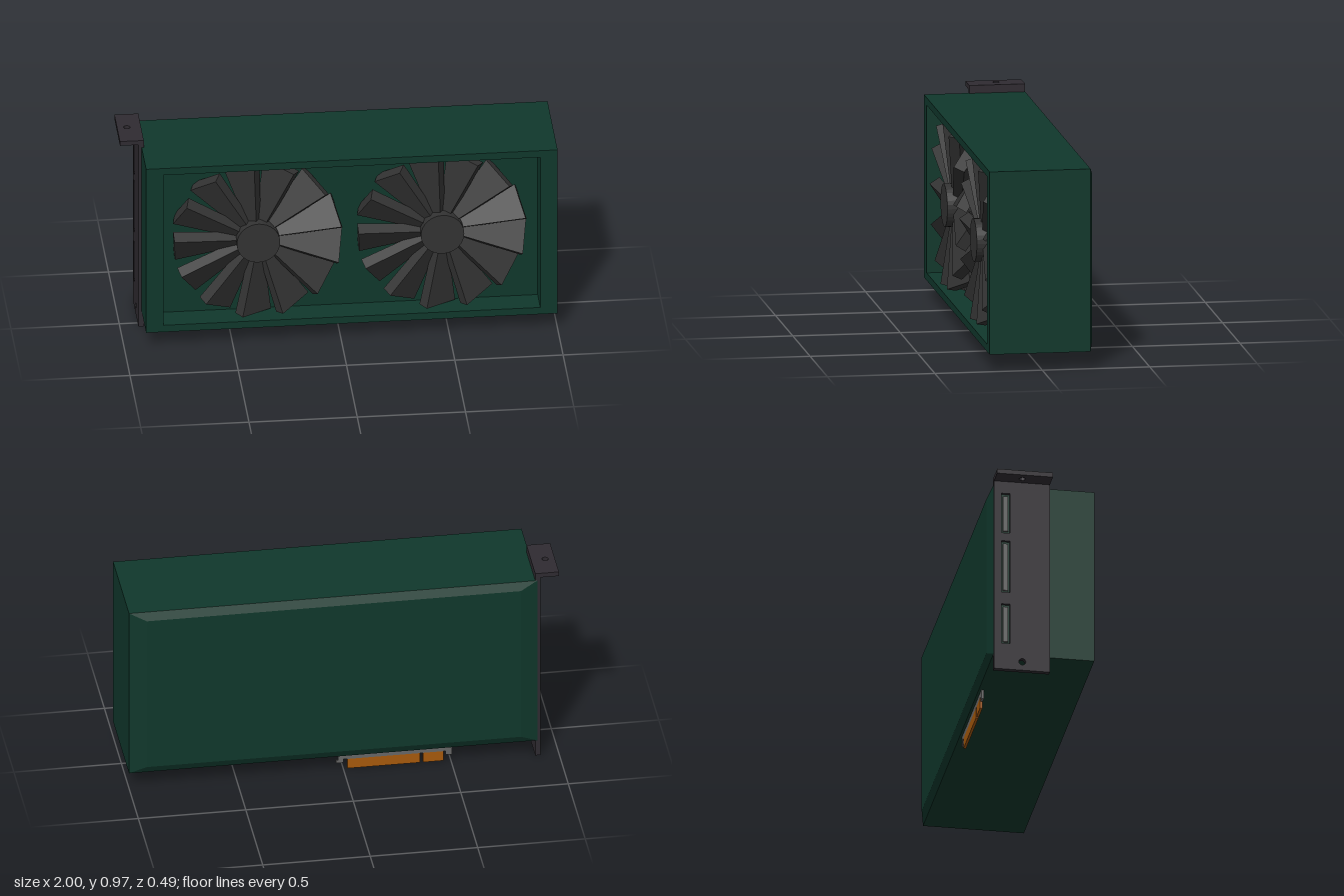
import * as THREE from 'three';

const mat = (color) => new THREE.MeshStandardMaterial({ color, flatShading: true });

// Rectangle outline, from corner to corner
function rect(x0, y0, x1, y1, Type = THREE.Shape) {
  return new Type([[x0, y0], [x1, y0], [x1, y1], [x0, y1]].map((p) => new THREE.Vector2(...p)));
}

function circleHole(x, y, r) {
  const path = new THREE.Path();
  path.absarc(x, y, r, 0, Math.PI * 2, true);
  return path;
}

const extrude = (shape, depth) =>
  new THREE.ExtrudeGeometry(shape, { depth, bevelEnabled: false, curveSegments: 12 });

function add(parent, name, geometry, material, x = 0, y = 0, z = 0) {
  const mesh = new THREE.Mesh(geometry, material);
  mesh.name = name;
  mesh.position.set(x, y, z);
  parent.add(mesh);
  return mesh;
}

// Box given by its two opposite corners
function addBox(parent, name, material, a, b) {
  const size = a.map((v, i) => b[i] - v);
  const mid = a.map((v, i) => (v + b[i]) / 2);
  return add(parent, name, new THREE.BoxGeometry(...size), material, ...mid);
}

// Pitched blade that widens from the hub to the tip
function bladeGeometry() {
  const inner = 0.07, outer = 0.385;
  const geo = new THREE.BoxGeometry(outer - inner, 1, 1);
  const pos = geo.attributes.position;
  for (let i = 0; i < pos.count; i++) {
    const tip = pos.getX(i) > 0;
    pos.setX(i, tip ? outer : inner);
    pos.setY(i, pos.getY(i) * (tip ? 0.165 : 0.045));
    pos.setZ(i, pos.getZ(i) * (tip ? 0.055 : 0.045));
  }
  geo.rotateX(-0.57);
  geo.computeVertexNormals();
  return geo;
}

function createFan(x, material) {
  const fan = new THREE.Group();
  fan.name = 'fan';
  fan.position.set(x, 0.515, 0);
  const hub = new THREE.CylinderGeometry(0.1, 0.1, 0.115, 32).rotateX(Math.PI / 2);
  add(fan, 'fanHub', hub, material, 0, 0, 0.1775);
  const blade = bladeGeometry();
  const count = 13;
  for (let i = 0; i < count; i++) {
    add(fan, 'fanBlade', blade, material, 0, 0, 0.172).rotation.z =
      THREE.MathUtils.degToRad(18) + (i / count) * Math.PI * 2;
  }
  return fan;
}

export function createModel() {
  const model = new THREE.Group();
  model.name = 'graphicsCard';
  const green = mat(0x10382c), dark = mat(0x2f2b31), black = mat(0x333333);
  const grey = mat(0x686868), gold = mat(0xa85a0c);

  // Shroud: solid rear part and a front frame around the fan recess
  addBox(model, 'shroudBody', green, [-0.9, 0.08, -0.225], [1, 0.935, 0.12]);
  const frame = rect(-0.9, 0.08, 1, 0.935);
  frame.holes.push(rect(-0.82, 0.115, 0.92, 0.9, THREE.Path));
  add(model, 'shroudFrame', extrude(frame, 0.125), green, 0, 0, 0.12);

  // Backplate with sloped edges
  const plate = new THREE.BoxGeometry(1.9, 0.855, 0.02);
  const p = plate.attributes.position;
  for (let i = 0; i < p.count; i++) {
    if (p.getZ(i) < 0) p.setXY(i, p.getX(i) * 0.916, p.getY(i) * 0.912);
  }
  plate.computeVertexNormals();
  add(model, 'backplate', plate, green, 0.05, 0.5075, -0.235);

  model.add(createFan(-0.38, black), createFan(0.47, black));

  // Mounting bracket with port openings and a screw hole
  const bracket = rect(-0.035, 0, 0.225, 0.97);
  bracket.holes.push(circleHole(0.093, 0.043, 0.016));
  for (const [low, high] of [[0.13, 0.33], [0.39, 0.65], [0.69, 0.89]]) {
    bracket.holes.push(rect(0.15, low, 0.19, high, THREE.Path));
    addBox(model, 'port', grey, [-0.909, low + 0.012, -0.182], [-0.88, high - 0.012, -0.158]);
  }
  add(model, 'bracket', extrude(bracket, 0.025).rotateY(Math.PI / 2), dark, -0.915);

  // Top flange with its screw hole
  const flange = rect(-1, -0.035, -0.89, 0.225);
  flange.holes.push(circleHole(-0.955, 0.1, 0.015));
  add(model, 'bracketFlange', extrude(flange, 0.022).rotateX(-Math.PI / 2), dark, 0, 0.95);

  // Edge connector: board with end hooks and two contact strips
  const board = new THREE.Shape([
    [-0.505, 0.1], [-0.505, 0.035], [-0.475, 0.035], [-0.475, 0.055], [0, 0.055],
    [0, 0.037], [0.035, 0.037], [0.035, 0.05], [0.025, 0.05], [0.025, 0.1],
  ].map((q) => new THREE.Vector2(...q)));
  add(model, 'connectorBoard', extrude(board, 0.012), grey, 0, 0, -0.213);
  for (const [x0, x1] of [[-0.465, -0.37], [-0.355, -0.018]]) {
    addBox(model, 'contactStrip', gold, [x0, 0.005, -0.213], [x1, 0.055, -0.201]);
  }
  return model;
}
